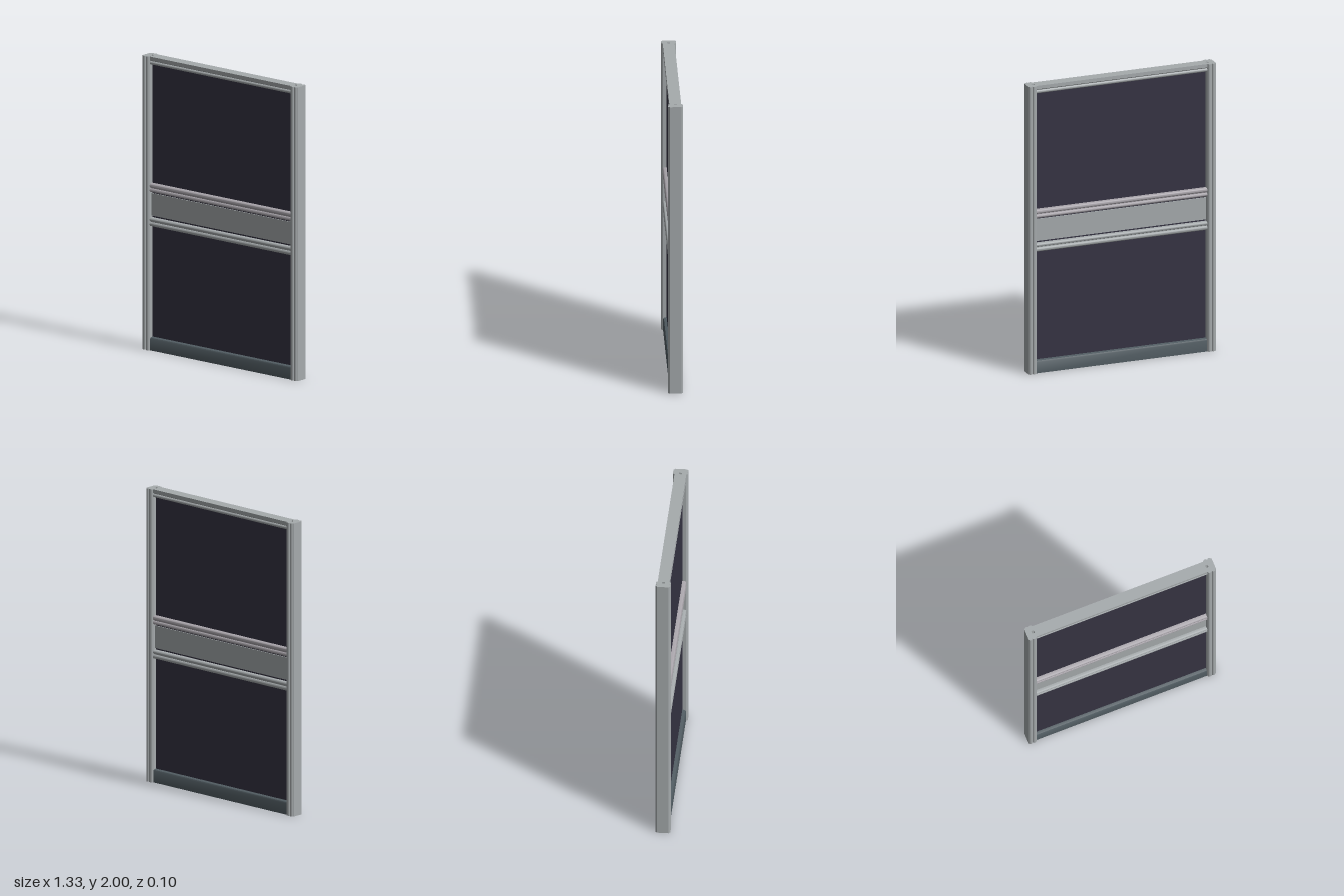
import * as THREE from 'three';
import { toCreasedNormals } from 'three/addons/utils/BufferGeometryUtils.js';

const material = (name, color) => {
  const m = new THREE.MeshStandardMaterial({ color });
  m.name = name;
  return m;
};

// Closed outline symmetric about the depth axis: points are [along, depth]
function symmetricOutline(half) {
  const back = half.slice().reverse().map(([a, d]) => [a, -d]);
  return half.concat(back);
}

// Rounded bead between two positions, rising from base depth to crest depth
function bead(from, to, base, crest, steps = 8) {
  const pts = [];
  for (let i = 0; i <= steps; i++) {
    const t = (i / steps) * Math.PI;
    pts.push([(from + to) / 2 - (Math.cos(t) * (to - from)) / 2, base + Math.sin(t) * (crest - base)]);
  }
  return pts;
}

function extrude(points, length, hole) {
  const shape = new THREE.Shape(points.map(([x, y]) => new THREE.Vector2(x, y)));
  if (hole) shape.holes.push(new THREE.Path(hole.map(([x, y]) => new THREE.Vector2(x, y))));
  return new THREE.ExtrudeGeometry(shape, { depth: length, bevelEnabled: false });
}

export function createModel() {
  const model = new THREE.Group();
  model.name = 'framedPanel';

  const frame = material('frameGrey', 0xa6abad);
  const middle = material('middleRailGrey', 0xa9a5ab);
  const dark = material('panelDark', 0x363443);
  const slate = material('slateGrey', 0x515c62);

  const add = (name, geometry, mat) => {
    const mesh = new THREE.Mesh(geometry, mat);
    mesh.name = name;
    model.add(mesh);
    return mesh;
  };
  const box = (name, y0, y1, halfDepth, mat) => {
    const g = new THREE.BoxGeometry(1.21, y1 - y0, halfDepth * 2);
    g.translate(0, (y0 + y1) / 2, 0);
    return add(name, g, mat);
  };

  // Side posts: two beads on each face and a square bore through the full height
  const postHalf = [
    [0.604, 0.036],
    ...bead(0.608, 0.636, 0.041, 0.05),
    ...bead(0.638, 0.660, 0.044, 0.05),
    [0.667, 0.038],
  ];
  const bore = [[0.608, -0.009], [0.625, -0.009], [0.625, 0.009], [0.608, 0.009]];
  const postGeometry = toCreasedNormals(
    extrude(symmetricOutline(postHalf), 2, bore).rotateX(-Math.PI / 2), 0.6);
  add('leftPost', postGeometry, frame);
  add('rightPost', postGeometry, frame).rotation.y = Math.PI;

  // Horizontal rails run along x; outline points are [height, depth]
  const rail = (name, half, mat) => {
    const outline = symmetricOutline(half).map(([h, d]) => [d, h]);
    const g = extrude(outline, 1.21);
    g.translate(0, 0, -0.605).rotateY(Math.PI / 2);
    add(name, toCreasedNormals(g, 0.6), mat);
  };

  // Top rail: flat upper band over a rounded lip
  rail('topRail', [
    [1.945, 0.02],
    ...bead(1.946, 1.969, 0.03, 0.039),
    [1.972, 0.033],
    [1.976, 0.039],
    [2, 0.039],
  ], frame);

  // Middle rails: a pair of beads each, mirrored about the middle panel
  const middleHalf = [
    [0, 0.02],
    ...bead(0.001, 0.026, 0.03, 0.04),
    ...bead(0.03, 0.058, 0.03, 0.04),
    [0.06, 0.02],
  ];
  rail('upperMiddleRail', middleHalf.map(([h, d]) => [1.077 + h, d]), middle);
  rail('lowerMiddleRail', middleHalf.map(([h, d]) => [0.903 - h, d]).reverse(), frame);

  // Bottom rail with sloped shoulders
  rail('bottomRail', [[0, 0.037], [0.076, 0.037], [0.085, 0.032], [0.09, 0.014]], slate);

  // Infill panels, with narrow dark gaps left above and below the middle panel
  box('darkPanel', 0.08, 1.95, 0.013, dark);
  box('middlePanel', 0.914, 1.067, 0.02, frame);

  return model;
}
